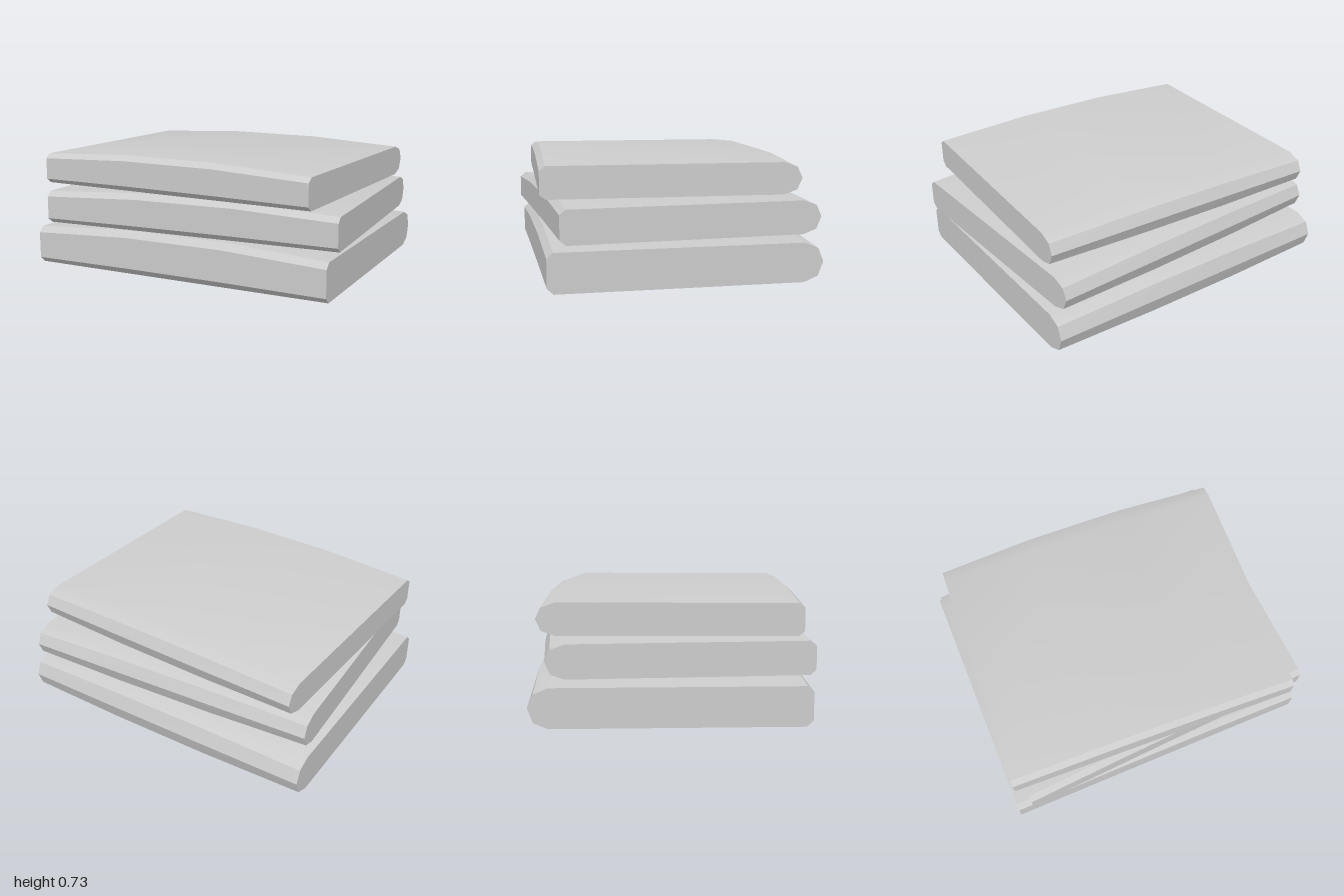
import * as THREE from 'three';
import { toCreasedNormals } from 'three/addons/utils/BufferGeometryUtils.js';

// End cross-section as [z, y]: square bevelled front, rounded fold at the back, open underneath
const PROFILE = [
  [0.77, 0], [0.8075, 0.035], [0.8075, 0.2], [0.77, 0.235],
  [-0.69, 0.235], [-0.775, 0.2], [-0.8075, 0.12], [-0.775, 0.035], [-0.69, 0],
];
const HALF_LENGTH = 0.982;
const STATIONS = [-1, -1 / 3, 1 / 3, 1];

// The middle stations are fuller: higher on top and further out at the fold
function section(t) {
  const full = Math.abs(t) < 0.9;
  return PROFILE.map(([z, y]) => [
    t * HALF_LENGTH,
    y * (full ? 1.17 : 1),
    z - (full && z < -0.7 ? 0.022 : 0),
  ]);
}

function foldedGeometry() {
  const n = PROFILE.length;
  const positions = STATIONS.flatMap((t) => section(t).flat());
  const index = [];
  // skin between neighbouring sections
  for (let s = 0; s < STATIONS.length - 1; s++) {
    for (let j = 0; j < n - 1; j++) {
      const a = s * n + j, b = a + n;
      index.push(a, b, b + 1, a, b + 1, a + 1);
    }
  }
  // flat ends
  const last = (STATIONS.length - 1) * n;
  for (let j = 1; j < n - 1; j++) {
    index.push(0, j, j + 1);
    index.push(last, last + j + 1, last + j);
  }
  const geometry = new THREE.BufferGeometry();
  geometry.setAttribute('position', new THREE.Float32BufferAttribute(positions, 3));
  geometry.setIndex(index);
  return toCreasedNormals(geometry, Math.PI / 6);
}

export function createModel() {
  const group = new THREE.Group();
  group.name = 'foldedStack';
  const cloth = new THREE.MeshStandardMaterial({ color: 0xcccccc, side: THREE.DoubleSide });
  cloth.name = 'light grey cloth';
  const geometry = foldedGeometry();

  // Three folded layers, each smaller and turned a little
  const layers = [
    { name: 'bottomLayer', pos: [-0.018, 0, -0.0075], scale: [1, 1, 1], turn: 0 },
    { name: 'middleLayer', pos: [0.01, 0.278, 0.0075], scale: [0.97, 0.85, 0.957], turn: 0.052 },
    { name: 'topLayer', pos: [-0.02, 0.515, 0.0275], scale: [0.932, 0.8, 0.938], turn: -0.044 },
  ];
  for (const { name, pos, scale, turn } of layers) {
    const mesh = new THREE.Mesh(geometry, cloth);
    mesh.name = name;
    mesh.position.set(...pos);
    mesh.scale.set(...scale);
    mesh.rotation.y = turn;
    group.add(mesh);
  }
  return group;
}
